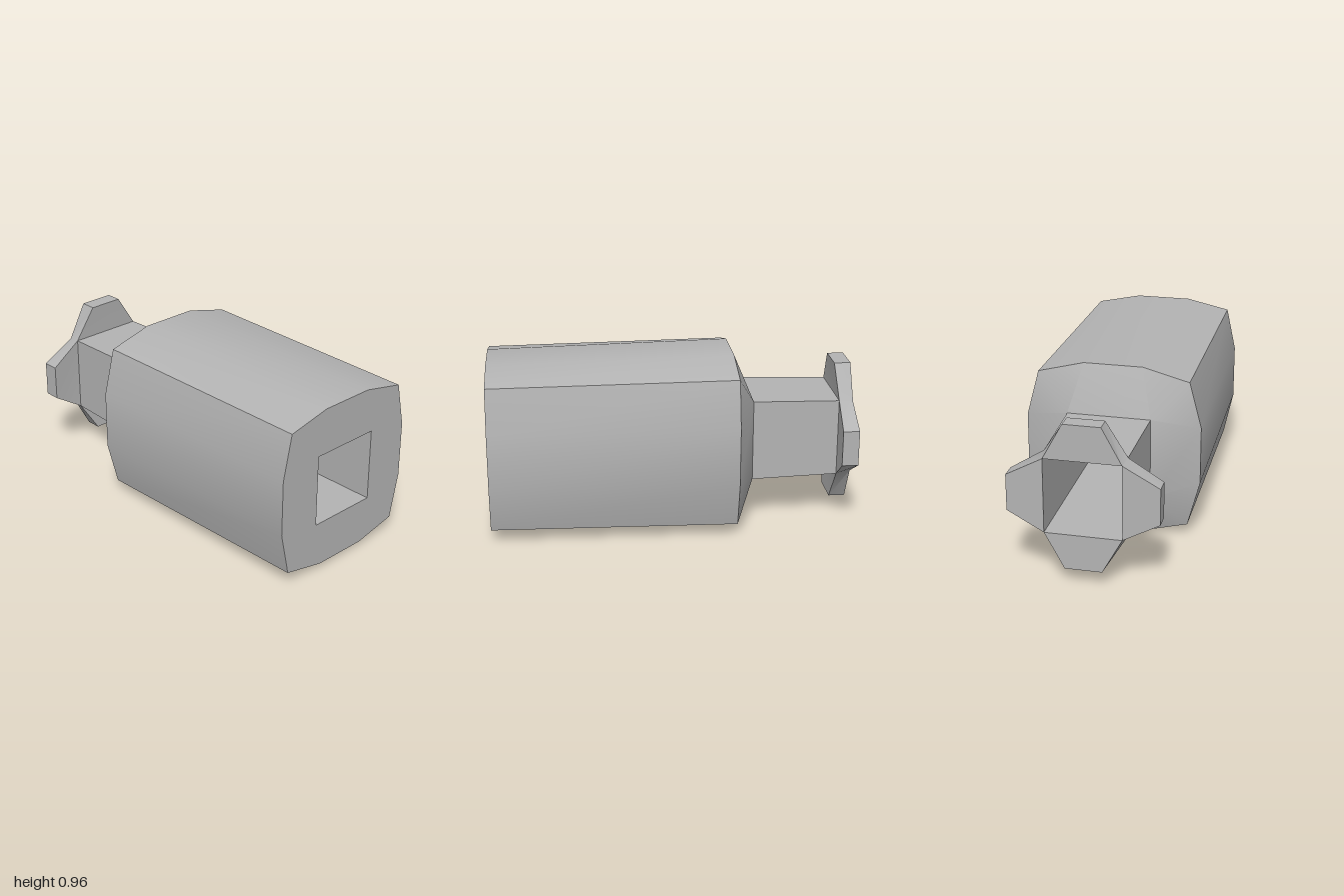
import * as THREE from 'three';
import { toCreasedNormals } from 'three/addons/utils/BufferGeometryUtils.js';

const CY = 0.482; // height of the central axis

// Four-fold ring: every corner is chamfered by three points
// (s, e), (c, c), (e, s), listed counter-clockwise as seen from the front.
function ring(z, s, e, c) {
  const points = [];
  for (let k = 0; k < 4; k++) {
    const cos = Math.round(Math.cos(k * Math.PI / 2));
    const sin = Math.round(Math.sin(k * Math.PI / 2));
    for (const [x, y] of [[e, s], [c, c], [s, e]]) {
      points.push(new THREE.Vector3(x * cos - y * sin, CY + x * sin + y * cos, z));
    }
  }
  return points;
}

// Plain square ring: the three points of each corner coincide.
const square = (z, h) => ring(z, h, h, h);

// Skin a list of rings, leaving out collapsed triangles.
function loft(rings) {
  const pos = [];
  const tri = (a, b, c) => {
    const area = b.clone().sub(a).cross(c.clone().sub(a)).length();
    if (area > 1e-7) for (const p of [a, b, c]) pos.push(p.x, p.y, p.z);
  };
  for (let i = 0; i + 1 < rings.length; i++) {
    const r = rings[i], q = rings[i + 1];
    for (let j = 0; j < r.length; j++) {
      const n = (j + 1) % r.length;
      tri(r[j], q[j], q[n]);
      tri(r[j], q[n], r[n]);
    }
  }
  const geometry = new THREE.BufferGeometry();
  geometry.setAttribute('position', new THREE.Float32BufferAttribute(pos, 3));
  return toCreasedNormals(geometry, 0.5);
}

export function createModel() {
  const group = new THREE.Group();
  const grey = new THREE.MeshStandardMaterial({ color: 0xb4b4b4 });
  grey.name = 'grey';
  const add = (name, rings) => {
    const mesh = new THREE.Mesh(loft(rings), grey);
    mesh.name = name;
    group.add(mesh);
  };

  // Shared rings, from front to back
  const boreFront = square(1, 0.2);
  const bodyFront = ring(1, 0.155, 0.453, 0.4);
  const bodyBack = ring(-0.34, 0.16, 0.478, 0.412);
  const neckFront = square(-0.445, 0.226);
  const neckBack = square(-0.92, 0.215);
  const flapFront = ring(-0.91, 0.098, 0.396, 0.215);
  flapFront.forEach((p, i) => { if (i % 3 === 1) p.z = -0.92; });
  const flapBack = ring(-1, 0.098, 0.396, 0.203);
  const boreBack = square(-1, 0.203);

  add('frontFace', [boreFront, bodyFront]);
  add('body', [bodyFront, bodyBack]);
  add('shoulder', [bodyBack, neckFront]);
  add('neck', [neckFront, neckBack]);
  // Four tapered flaps around the rear opening
  add('rearFlaps', [neckBack, flapFront, flapBack, boreBack]);
  // Square channel running right through
  add('bore', [boreBack, boreFront]);
  return group;
}
